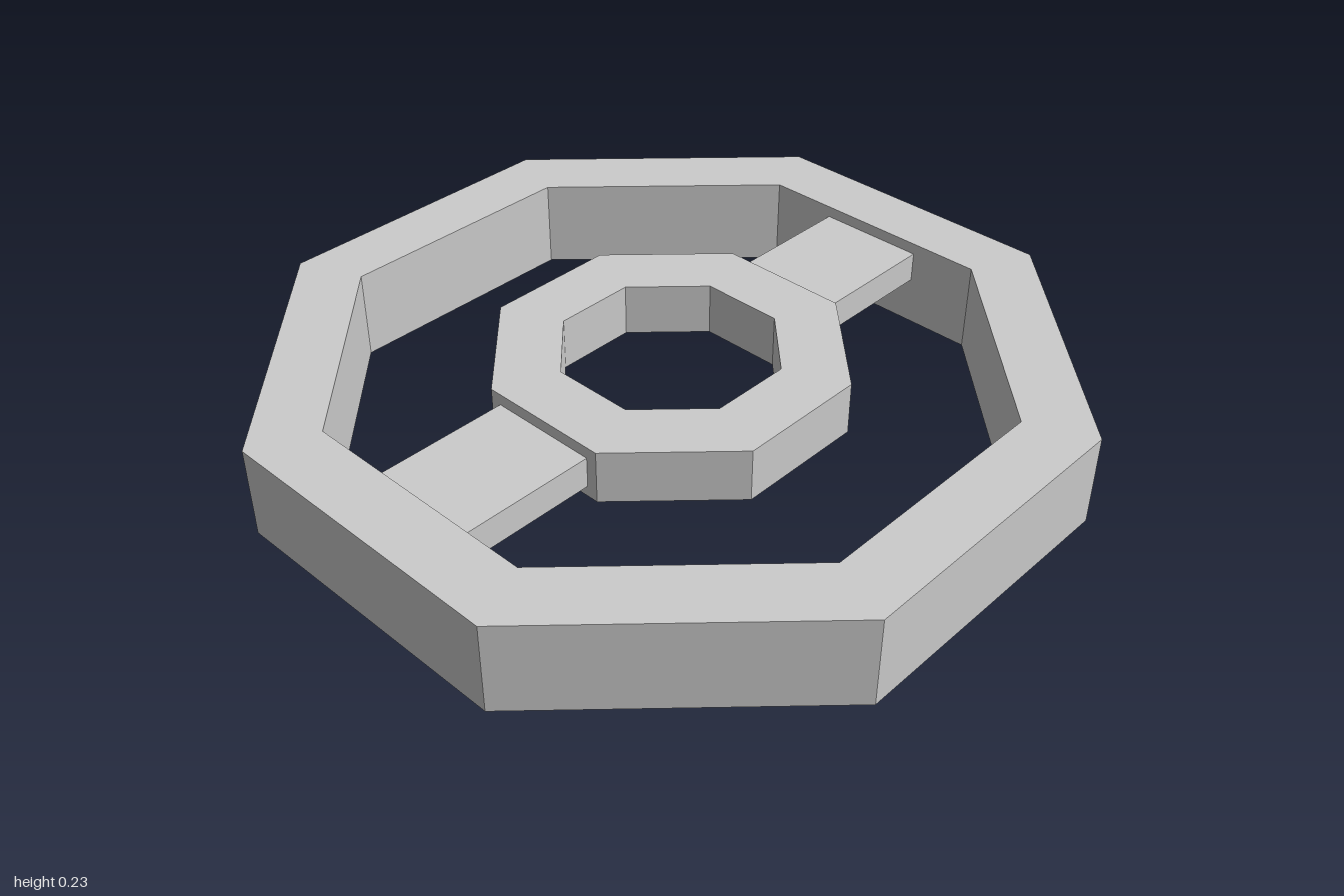
import * as THREE from 'three';

const SIDES = 8;

// Regular polygon points, with corners on the x and z axes
function polygon(radius) {
  return Array.from({ length: SIDES }, (_, i) => {
    const a = (i / SIDES) * Math.PI * 2;
    return new THREE.Vector2(Math.cos(a) * radius, Math.sin(a) * radius);
  });
}

// Flat octagonal ring lying between heights bottom and top
function octagonRing(name, outer, inner, bottom, top, material) {
  const shape = new THREE.Shape(polygon(outer));
  shape.holes.push(new THREE.Path(polygon(inner).reverse()));
  const geometry = new THREE.ExtrudeGeometry(shape, { depth: top - bottom, bevelEnabled: false });
  geometry.rotateX(-Math.PI / 2);
  geometry.translate(0, bottom, 0);
  const mesh = new THREE.Mesh(geometry, material);
  mesh.name = name;
  return mesh;
}

export function createModel() {
  const model = new THREE.Group();
  model.name = 'spokedOctagonRing';
  const material = new THREE.MeshStandardMaterial({ color: 0xcccccc, flatShading: true });

  // Tall rim and shallower hub, level on top
  model.add(octagonRing('outerRim', 1, 0.825, 0, 0.23, material));
  model.add(octagonRing('innerHub', 0.44, 0.273, 0.095, 0.23, material));

  // Two opposite spokes joining the middles of the flat sides
  const apothem = Math.cos(Math.PI / SIDES);
  const start = 0.44 * apothem;
  const end = 0.825 * apothem;
  for (const side of [0, 1]) {
    const geometry = new THREE.BoxGeometry(end - start, 0.078, 0.28);
    geometry.translate((start + end) / 2, 0.162, 0);
    const spoke = new THREE.Mesh(geometry, material);
    spoke.rotation.y = Math.PI / SIDES + side * Math.PI;
    spoke.name = side ? 'rightSpoke' : 'leftSpoke';
    model.add(spoke);
  }
  return model;
}
